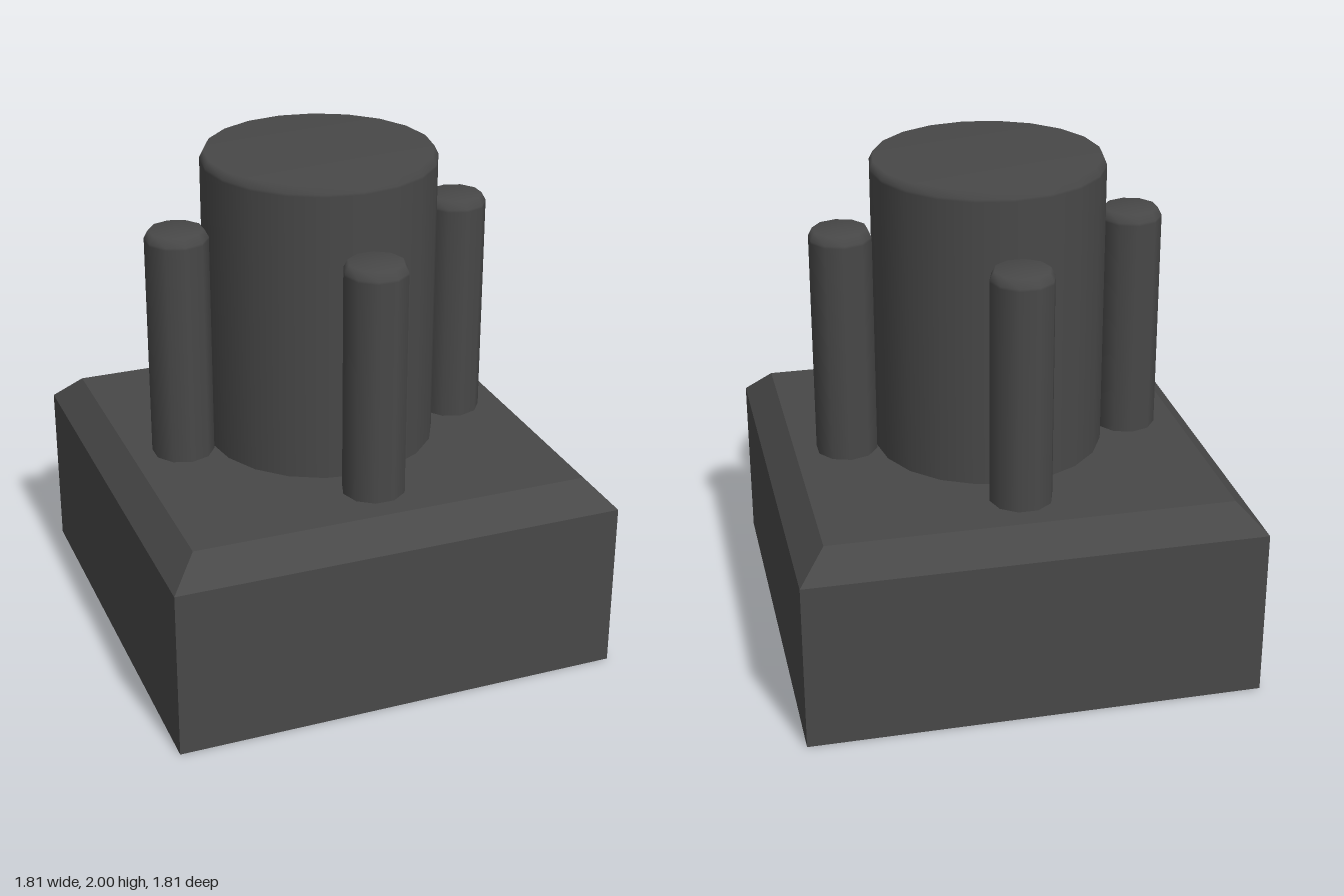
import * as THREE from 'three';

// Closed turned solid from [radius, height] pairs, bottom to top
function turned(profile, sides, phase = 0) {
  const points = profile.map(([r, y]) => new THREE.Vector2(r, y));
  return new THREE.LatheGeometry(points, sides, phase);
}

// Post with a softened top edge; the close rings keep the long wall evenly shaded
function postGeometry(radius, topRadius, bottom, shoulder, top, sides) {
  return turned([
    [radius, bottom],
    [radius, shoulder - 0.01],
    [radius, shoulder],
    [topRadius, top],
    [0, top],
  ], sides);
}

export function createModel() {
  const model = new THREE.Group();
  model.name = 'pegBlock';
  const darkGrey = new THREE.MeshStandardMaterial({ color: 0x484848 });
  darkGrey.name = 'darkGrey';

  // Square base with a bevelled upper edge and hard facets
  const d = Math.SQRT2;
  const baseGeometry = turned([
    [0, 0], [0.907 * d, 0], [0.907 * d, 0.69], [0.8 * d, 0.8], [0, 0.8],
  ], 4, Math.PI / 4).toNonIndexed();
  baseGeometry.computeVertexNormals();
  const base = new THREE.Mesh(baseGeometry, darkGrey);
  base.name = 'base';
  model.add(base);

  // Large central column
  const column = new THREE.Mesh(postGeometry(0.465, 0.45, 0.78, 1.97, 2, 20), darkGrey);
  column.name = 'centralColumn';
  model.add(column);

  // Four slim pegs around the column
  const pegGeometry = postGeometry(0.125, 0.108, 0.78, 1.71, 1.742, 10);
  pegGeometry.translate(0.587, 0, 0);
  ['leftPeg', 'backPeg', 'rightPeg', 'frontPeg'].forEach((name, i) => {
    const peg = new THREE.Mesh(pegGeometry, darkGrey);
    peg.name = name;
    peg.rotation.y = i * Math.PI / 2;
    model.add(peg);
  });

  return model;
}
